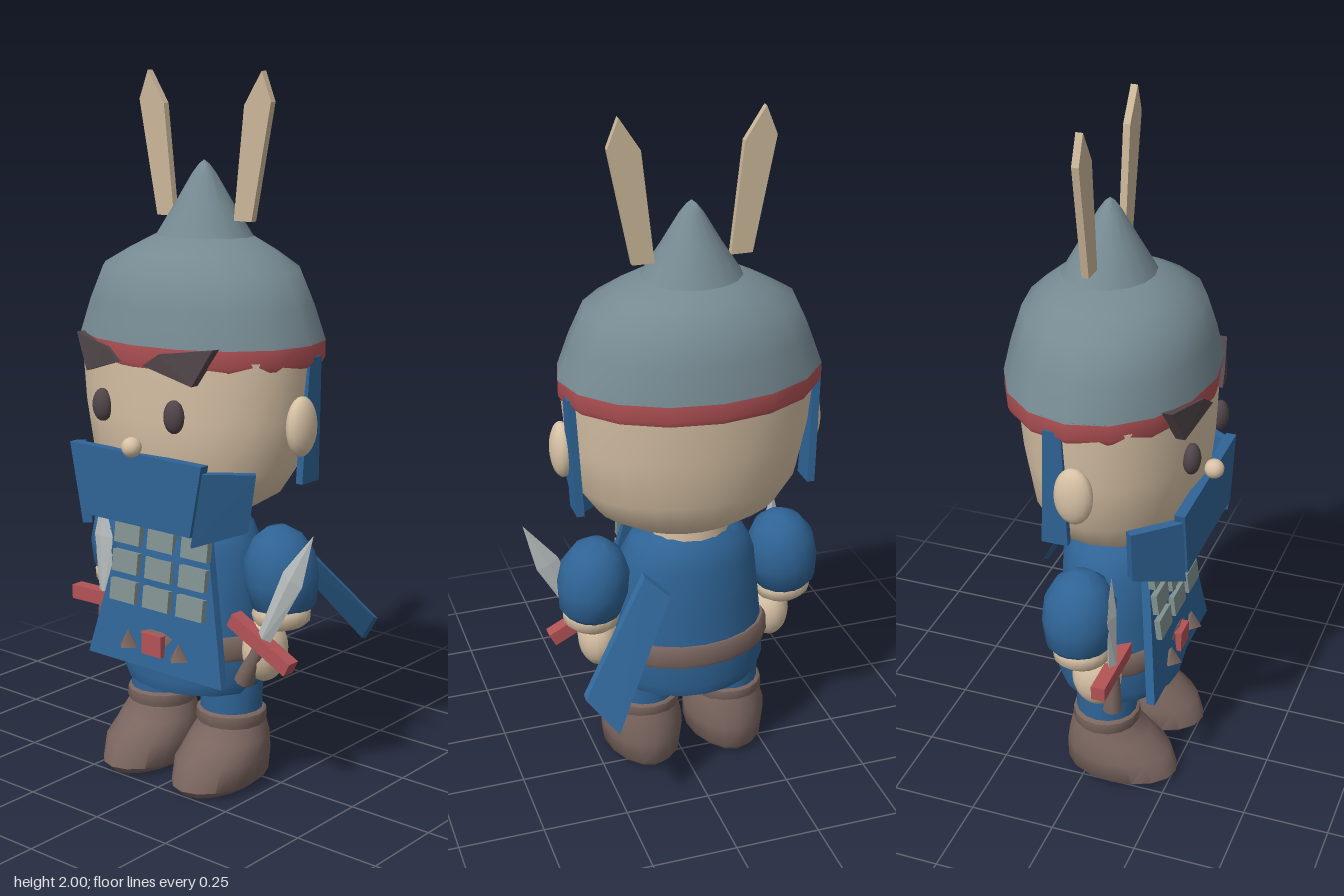
import * as THREE from 'three';
import { toCreasedNormals } from 'three/addons/utils/BufferGeometryUtils.js';
import { ConvexGeometry } from 'three/addons/geometries/ConvexGeometry.js';

const mat = (name, color) => Object.assign(new THREE.MeshStandardMaterial({ color }), { name });
const M = {
  blue: mat('blue cloth', 0x2f6496),
  steel: mat('helmet steel', 0x768a92),
  skin: mat('skin', 0xd8c2a6),
  red: mat('red trim', 0xb35356),
  brown: mat('brown leather', 0x7a655f),
  dark: mat('dark brown', 0x50454a),
  tile: mat('armour plates', 0x80918f),
  blade: mat('blade', 0xb9c0c0),
  horn: mat('horn', 0xcbb799),
};
const CX = -0.03; // the body's axis of symmetry

// Elliptical rings [y, centre z, radius x, radius z], joined and capped
function loft(rings, seg = 16, crease = 0.75) {
  const pos = [], idx = [], n = rings.length;
  for (const [y, cz, rx, rz] of rings) {
    for (let i = 0; i < seg; i++) {
      const a = (i / seg) * Math.PI * 2;
      pos.push(Math.sin(a) * rx, y, cz + Math.cos(a) * rz);
    }
  }
  for (let r = 0; r < n - 1; r++) {
    for (let i = 0; i < seg; i++) {
      const j = (i + 1) % seg, a = r * seg + i, b = r * seg + j;
      idx.push(a, b, b + seg, a, b + seg, a + seg);
    }
  }
  const bottom = n * seg, top = bottom + 1, last = (n - 1) * seg;
  for (const r of [rings[0], rings[n - 1]]) pos.push(0, r[0], r[1]);
  for (let i = 0; i < seg; i++) {
    const j = (i + 1) % seg;
    idx.push(bottom, j, i, top, last + i, last + j);
  }
  const g = new THREE.BufferGeometry();
  g.setAttribute('position', new THREE.Float32BufferAttribute(pos, 3));
  g.setIndex(idx);
  return toCreasedNormals(g, crease);
}

// Flat-faced plate: an outline of corners thickened by an offset
function plate(corners, offset) {
  const pts = corners.map((c) => new THREE.Vector3(...c));
  const o = new THREE.Vector3(...offset);
  return new ConvexGeometry([...pts, ...pts.map((p) => p.clone().add(o))]);
}

const box = (w, h, d) => new THREE.BoxGeometry(w, h, d);
const ball = (rx, ry, rz) => new THREE.SphereGeometry(1, 16, 12).scale(rx, ry, rz);

function add(parent, name, geometry, material, x = 0, y = 0, z = 0) {
  const m = new THREE.Mesh(geometry, material);
  m.name = name;
  m.position.set(x, y, z);
  parent.add(m);
  return m;
}

function dagger(name, length, guard) {
  const g = new THREE.Group();
  g.name = name;
  add(g, 'guard', box(guard, 0.042, 0.04), M.red);
  add(g, 'handle', loft([[-0.14, 0, 0.028, 0.028], [0, 0, 0.02, 0.02]], 10), M.brown);
  add(g, 'blade', plate([[-0.022, 0, 0], [0.022, 0, 0], [0.036, length * 0.6, 0], [-0.036, length * 0.6, 0],
    [0, length, 0], [0, length * 0.6, 0.014], [0, 0, 0.014], [0, length * 0.6, -0.014], [0, 0, -0.014]], [0, 0, 0]), M.blade);
  return g;
}

export function createModel() {
  const model = new THREE.Group();
  model.name = 'warrior';
  const body = new THREE.Group();
  body.name = 'body';
  body.position.x = CX;
  model.add(body);

  // Head and helmet
  add(body, 'head', loft([[0.785, 0.06, 0.1, 0.1], [0.81, 0.055, 0.19, 0.15], [0.86, 0.045, 0.27, 0.205],
    [0.94, 0.045, 0.325, 0.237], [1.08, 0.04, 0.352, 0.255], [1.25, 0.035, 0.368, 0.266]], 24), M.skin);
  add(body, 'neck', loft([[0.74, 0.03, 0.125, 0.115], [0.82, 0.03, 0.125, 0.115]]), M.skin);
  add(body, 'nose', ball(0.028, 0.028, 0.028), M.skin, 0, 1.005, 0.312);
  add(body, 'helmetBand', loft([[1.225, 0.02, 0.37, 0.283], [1.24, 0.02, 0.378, 0.289], [1.288, 0.02, 0.378, 0.289]]), M.red);
  add(body, 'helmetDome', loft([[1.285, 0.02, 0.379, 0.29], [1.38, 0.02, 0.343, 0.269], [1.47, 0.02, 0.3, 0.242],
    [1.515, 0.015, 0.22, 0.19], [1.558, 0.01, 0.135, 0.125]], 16, 1), M.steel);
  add(body, 'helmetPeak', loft([[1.552, 0.006, 0.143, 0.13], [1.64, 0.006, 0.085, 0.08], [1.725, 0.006, 0.034, 0.032],
    [1.75, 0.006, 0.014, 0.014], [1.76, 0.006, 0.001, 0.001]], 16, 1), M.steel);

  // Mask over the mouth
  add(body, 'maskFront', plate([[-0.24, 0.985, 0.305], [0.24, 0.985, 0.305], [0.2, 0.785, 0.305], [-0.2, 0.785, 0.305]],
    [0, 0, -0.03]), M.blue);

  // Tunic
  add(body, 'tunic', loft([[0.285, 0.045, 0.215, 0.178], [0.32, 0.045, 0.232, 0.187], [0.42, 0.04, 0.228, 0.177],
    [0.55, 0.04, 0.215, 0.168], [0.69, 0.04, 0.2, 0.163], [0.75, 0.035, 0.17, 0.142], [0.782, 0.03, 0.125, 0.11]], 20), M.blue);
  add(body, 'belt', loft([[0.388, 0.04, 0.238, 0.183], [0.4, 0.04, 0.245, 0.187], [0.445, 0.04, 0.243, 0.186],
    [0.457, 0.04, 0.234, 0.18]], 20), M.brown);
  add(body, 'apron', plate([[-0.15, 0.77, 0.175], [0.15, 0.77, 0.175], [0.25, 0.345, 0.232], [-0.25, 0.345, 0.232]],
    [0, 0, -0.025]), M.blue);
  for (let row = 0; row < 3; row++) {
    for (let col = -1; col <= 1; col++) {
      const t = add(body, 'armourPlate', box(0.095, 0.062, 0.02), M.tile, col * 0.125, 0.715 - row * 0.083, 0.19 + row * 0.011);
      t.rotation.x = -0.13;
    }
  }
  add(body, 'buckle', box(0.072, 0.062, 0.03), M.red, 0, 0.42, 0.225);

  // Mirrored parts
  for (const s of [-1, 1]) {
    const p = (pts) => pts.map(([x, y, z]) => [s * x, y, z]);
    add(body, 'ear', ball(0.034, 0.083, 0.055), M.skin, s * 0.368, 1.068, 0.038);
    add(body, 'eye', ball(0.031, 0.046, 0.025), M.dark, s * 0.13, 1.102, 0.286);
    add(body, 'eyebrow', plate(p([[0.245, 1.29, 0.265], [0.095, 1.27, 0.305], [0.045, 1.235, 0.315], [0.19, 1.19, 0.285]]),
      [0, 0, -0.035]), M.dark);
    add(body, 'horn', plate(p([[0.202, 2, 0], [0.234, 1.92, 0], [0.17, 1.6, 0], [0.108, 1.6, 0], [0.143, 1.91, 0]])
      .map(([x, y]) => [x, y, 0.01]), [0, 0, -0.02]), M.horn);
    add(body, 'sideStrap', plate(p([[0.37, 1.25, 0.005], [0.37, 1.25, -0.045], [0.355, 0.9, -0.06], [0.355, 0.9, 0.015]]),
      [-s * 0.022, 0, 0]), M.blue);
    add(body, 'maskSide', plate(p([[0.24, 0.965, 0.3], [0.33, 0.955, 0.185], [0.3, 0.79, 0.18], [0.2, 0.755, 0.3]]),
      [-s * 0.018, 0, -0.02]), M.blue);
    add(body, 'beltStud', new THREE.ConeGeometry(0.032, 0.048, 4), M.brown, s * 0.095, 0.42, 0.23);

    // Arm
    const sleeve = add(body, 'sleeve', loft([[-0.12, 0, 0.07, 0.07], [-0.1, 0, 0.09, 0.09], [-0.03, 0, 0.104, 0.104],
      [0.04, 0, 0.1, 0.1], [0.095, 0, 0.068, 0.07], [0.122, 0, 0.025, 0.03]], 16, 1), M.blue, s * 0.29, 0.65, 0.022);
    sleeve.rotation.z = s * 0.15;
    const cuff = add(body, 'cuff', loft([[-0.035, 0, 0.06, 0.06], [-0.02, 0, 0.08, 0.077], [0.01, 0, 0.085, 0.082],
      [0.03, 0, 0.075, 0.072]], 16, 1), M.skin, s * 0.3, 0.525, 0.03);
    cuff.rotation.z = s * 0.12;
    add(body, 'hand', ball(0.06, 0.092, 0.072), M.skin, s * 0.27, 0.425, 0.065);

    // Leg and boot
    add(body, 'leg', loft([[0.19, 0, 0.09, 0.09], [0.31, 0, 0.09, 0.09]]), M.blue, s * 0.133, 0, 0.045);
    add(body, 'boot', loft([[0.004, 0.095, 0.09, 0.15], [0.025, 0.095, 0.115, 0.169], [0.09, 0.083, 0.121, 0.158],
      [0.14, 0.055, 0.113, 0.122], [0.185, 0.04, 0.095, 0.095], [0.2, 0.04, 0.09, 0.09]], 16, 0.9), M.brown, s * 0.133);
    add(body, 'bootCuff', loft([[0.18, 0.045, 0.1, 0.096], [0.19, 0.045, 0.104, 0.1], [0.215, 0.045, 0.102, 0.098],
      [0.222, 0.045, 0.094, 0.09]]), M.brown, s * 0.133);
  }

  // A dagger in each hand
  const right = dagger('rightDagger', 0.315, 0.235);
  right.position.set(-0.32, 0.472, 0.118);
  right.rotation.z = 0.02;
  const left = dagger('leftDagger', 0.38, 0.225);
  left.position.set(0.27, 0.462, 0.118);
  left.rotation.z = -0.47;
  model.add(right, left);

  // Cloth tail slanting out behind
  add(model, 'clothTail', plate([[0.09, 0.66, -0.17], [0.155, 0.72, -0.14], [0.375, 0.45, -0.29], [0.295, 0.355, -0.345]],
    [0, 0.008, 0.02]), M.blue);
  return model;
}
